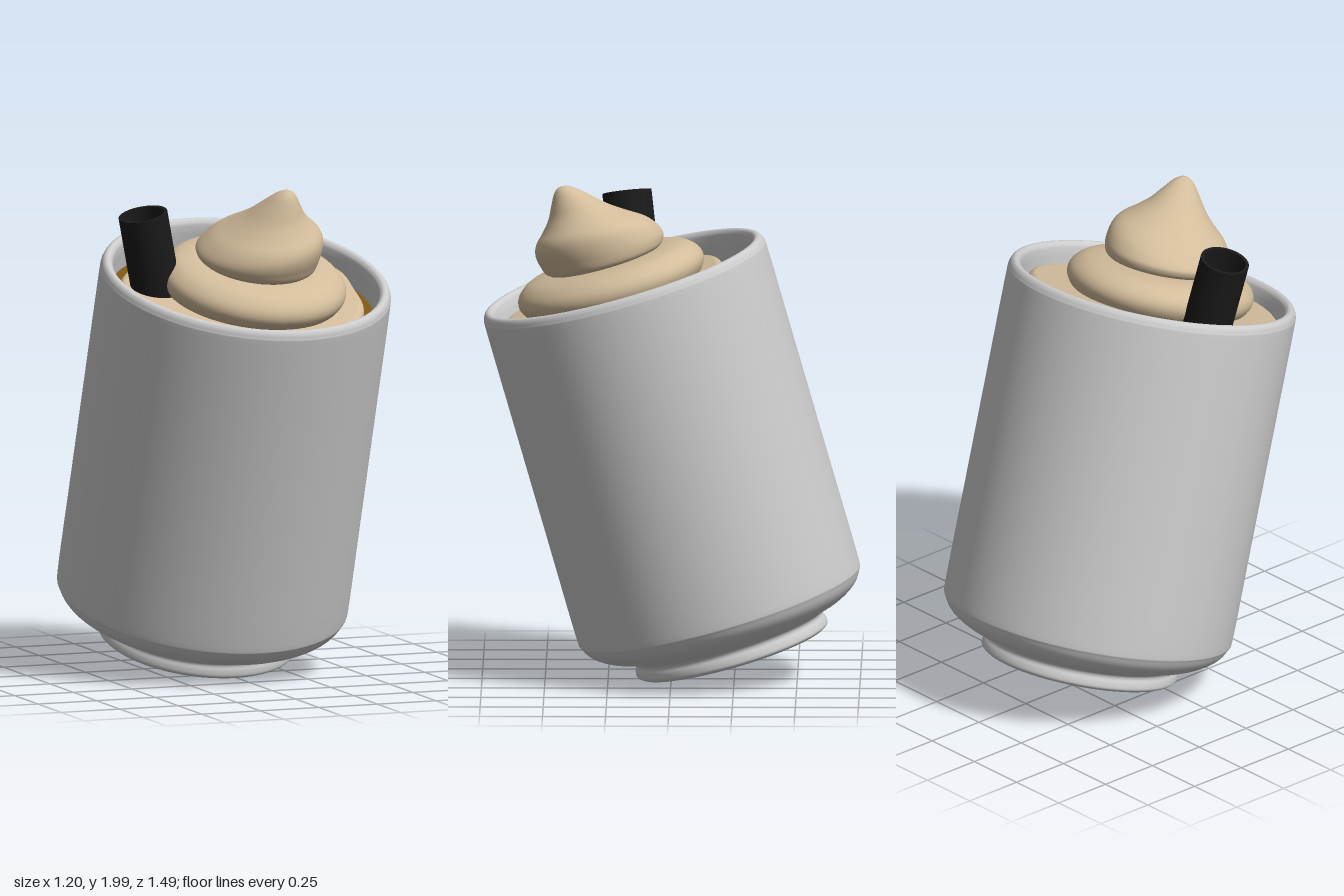
import * as THREE from 'three';

const mat = (color, side = THREE.FrontSide) => new THREE.MeshStandardMaterial({ color, side });
const v2 = (pts) => pts.map(([x, y]) => new THREE.Vector2(x, y));
const smooth = (pts, n) => new THREE.SplineCurve(v2(pts)).getPoints(n);

function addMesh(parent, name, geometry, material) {
  const mesh = new THREE.Mesh(geometry, material);
  mesh.name = name;
  parent.add(mesh);
  return mesh;
}

export function createModel() {
  const model = new THREE.Group();
  model.name = 'whippedCoffeeCup';
  const grey = mat(0xcccccc);
  const cream = mat(0xd2bc9b);
  const up = new THREE.Vector3(0, 1, 0);

  // Everything but the straw shares the leaning cup axis
  const cup = new THREE.Group();
  cup.name = 'leaningCup';
  cup.position.set(-0.03, 0.107, -0.245);
  cup.quaternion.setFromUnitVectors(up, new THREE.Vector3(0.027, 0.961, 0.277).normalize());
  model.add(cup);

  // Cup wall: recessed foot, sloped shoulder, straight side, rounded rim, inside
  const outer = smooth([
    [0.38, 0], [0.394, 0.012], [0.392, 0.035], [0.385, 0.055], [0.395, 0.072], [0.43, 0.085],
    [0.49, 0.105], [0.545, 0.14], [0.575, 0.185], [0.582, 0.24], [0.582, 0.6], [0.582, 1.1],
    [0.582, 1.5], [0.579, 1.555], [0.568, 1.578], [0.553, 1.583], [0.54, 1.575], [0.532, 1.55],
    [0.53, 1.45], [0.53, 0.9], [0.53, 0.28], [0.5, 0.18],
  ], 90);
  addMesh(cup, 'cupWall', new THREE.LatheGeometry([...outer, new THREE.Vector2(0, 0.15)], 72), grey);

  const foot = addMesh(cup, 'footBase', new THREE.CircleGeometry(0.38, 72), grey);
  foot.rotation.x = Math.PI / 2;

  const coffee = addMesh(cup, 'coffeeSurface', new THREE.CircleGeometry(0.531, 72), mat(0x7d5512));
  coffee.rotation.x = -Math.PI / 2;
  coffee.position.y = 1.455;

  // Lowest cream layer: an uneven rounded slab (outline in x and -z)
  const outline = [
    [0.455, 0], [0.46, 0.17], [0.37, 0.3], [0.24, 0.37], [0, 0.375], [-0.24, 0.34], [-0.41, 0.21],
    [-0.5, 0.03], [-0.48, -0.18], [-0.35, -0.36], [-0.19, -0.46], [-0.01, -0.495],
    [0.19, -0.44], [0.34, -0.33], [0.43, -0.17],
  ].map(([x, y]) => new THREE.Vector3(x, y, 0));
  const rim = new THREE.CatmullRomCurve3(outline, true).getPoints(72).slice(0, -1);
  const slab = new THREE.ExtrudeGeometry(new THREE.Shape(rim.map((p) => new THREE.Vector2(p.x, p.y))), {
    depth: 0.03, bevelEnabled: true, bevelThickness: 0.03, bevelSize: 0.03,
    bevelOffset: -0.012, bevelSegments: 6, curveSegments: 1,
  });
  slab.rotateX(-Math.PI / 2);
  addMesh(cup, 'creamBase', slab, cream).position.y = 1.46;

  // Cream swirl: a turned profile whose upper part leans toward the tip
  const tier = smooth([
    [0.31, 1.49], [0.35, 1.525], [0.37, 1.565], [0.36, 1.605], [0.32, 1.64], [0.27, 1.655], [0.222, 1.66],
  ], 24);
  const peak = smooth([
    [0.222, 1.66], [0.238, 1.675], [0.246, 1.71], [0.238, 1.755], [0.212, 1.795],
    [0.165, 1.835], [0.118, 1.88], [0.08, 1.93], [0.045, 1.975], [0.02, 1.995], [0, 2.0],
  ], 44);
  const lean = (geometry) => {
    const pos = geometry.attributes.position;
    for (let i = 0; i < pos.count; i++) {
      const x = pos.getX(i), y = pos.getY(i), z = pos.getZ(i);
      const t = Math.max(0, (y - 1.7) / 0.3);
      const rise = 0.13 * x * THREE.MathUtils.smoothstep(y, 1.66, 1.78);
      pos.setXYZ(i, x + 0.01 + 0.056 * t, y + rise, z * 1.03 + 0.05 + 0.08 * t);
    }
    geometry.computeVertexNormals();
    return geometry;
  };
  addMesh(cup, 'creamMiddleTier', lean(new THREE.LatheGeometry(tier, 64)), cream);
  addMesh(cup, 'creamPeak', lean(new THREE.LatheGeometry(peak, 64)), cream);

  // Straw: a thin open tube leaning outward
  const straw = addMesh(model, 'straw', new THREE.LatheGeometry(v2([
    [0.084, -0.22], [0.098, -0.22], [0.098, -0.22], [0.098, 0.21], [0.098, 0.21],
    [0.084, 0.21], [0.084, 0.21], [0.084, -0.22],
  ]), 40), mat(0x1a1a1a, THREE.DoubleSide));
  const axis = new THREE.Vector3(-0.07, 0.31, 0.035).normalize();
  straw.quaternion.setFromUnitVectors(up, axis);
  straw.position.set(-0.425, 1.89, 0.18).addScaledVector(axis, -0.21);

  return model;
}
